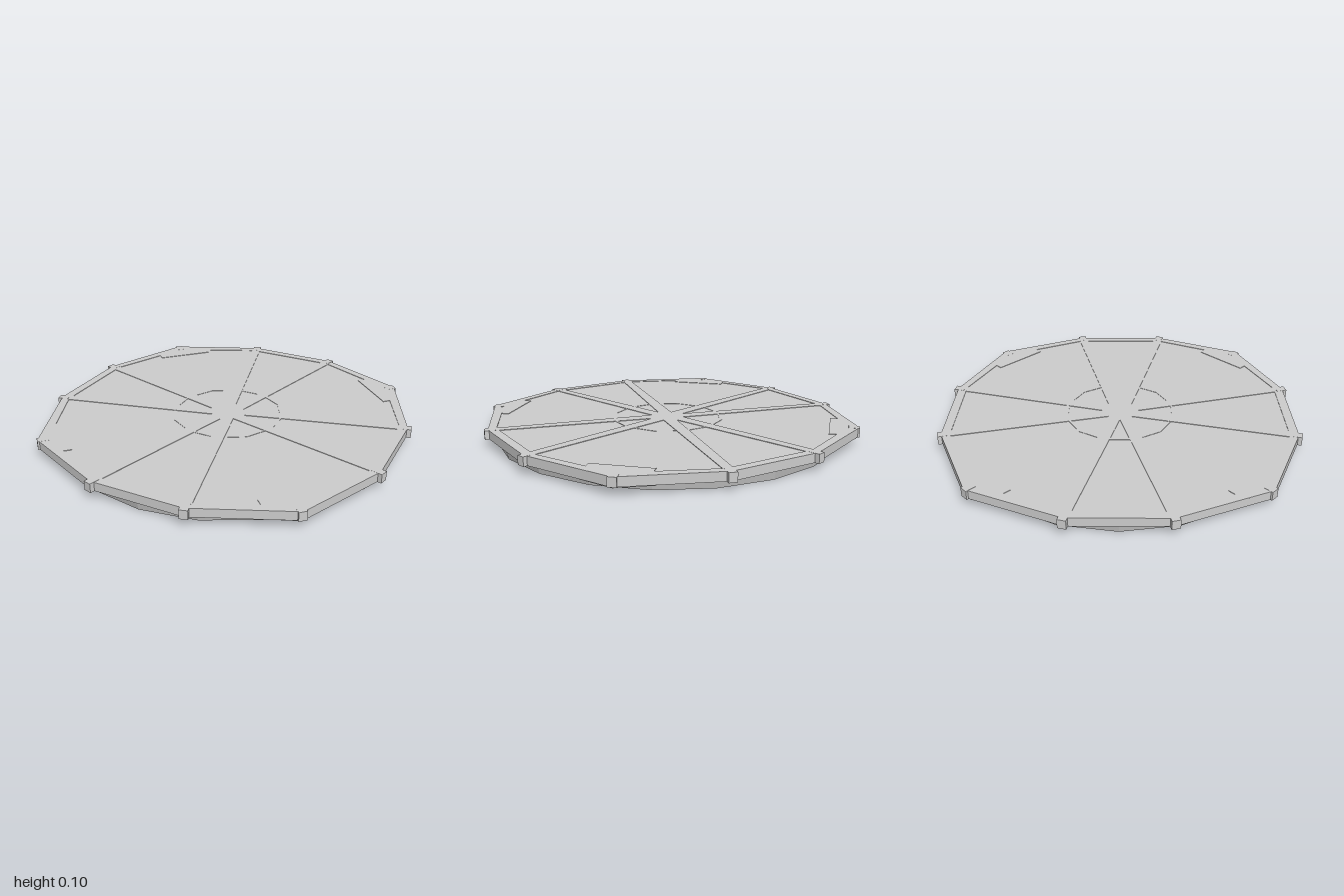
import * as THREE from 'three';

const material = new THREE.MeshStandardMaterial({ color: 0xcccccc, flatShading: true });
const TOP = 0.096, DECK = 0.093, LEDGE = 0.047;

// Rotate a plan point by quarter turns
const turn = ([x, y], k) => {
  for (let i = 0; i < k; i++) [x, y] = [-y, x];
  return [x, y];
};
const toPoints = (list, k = 0) => list.map((p) => new THREE.Vector2(...turn(p, k)));

// Flat plate cut from a plan outline, standing between two heights
function plate(name, points, y0, y1, holes = []) {
  const shape = new THREE.Shape(points);
  shape.holes = holes.map((h) => new THREE.Path(h));
  const geo = new THREE.ExtrudeGeometry(shape, { depth: y1 - y0, bevelEnabled: false });
  geo.rotateX(-Math.PI / 2).translate(0, y0, 0);
  const mesh = new THREE.Mesh(geo, material);
  mesh.name = name;
  return mesh;
}

function polygon(sides, radius) {
  return Array.from({ length: sides }, (_, i) => {
    const a = ((i + 0.5) / sides) * Math.PI * 2;
    return new THREE.Vector2(Math.cos(a) * radius, Math.sin(a) * radius);
  });
}

export function createModel() {
  const model = new THREE.Group();
  model.name = 'platform';
  const quarters = [0, 1, 2, 3];

  // Twenty-sided tapering base
  const base = new THREE.Mesh(new THREE.CylinderGeometry(0.97, 0.957, LEDGE, 20), material);
  base.name = 'base';
  base.position.y = LEDGE / 2;
  model.add(base);

  // Twelve-sided deck
  const outline = quarters.flatMap((k) => toPoints([[0.975, -0.26], [0.975, 0.26], [0.759, 0.759]], k));
  model.add(plate('deck', outline, LEDGE, DECK));

  // Raised frame: rim, spokes and corner gussets around eight sunken panels
  const straightPanel = [[0.1, 0], [0.925, -0.222], [0.925, 0.222]];
  const cornerPanel = [
    [0.065, 0.065], [0.92, 0.275], [0.79, 0.56], [0.76, 0.53],
    [0.53, 0.76], [0.56, 0.79], [0.275, 0.92],
  ];
  const holes = quarters.flatMap((k) => [toPoints(straightPanel, k), toPoints(cornerPanel, k)]);
  model.add(plate('frame', outline, DECK, TOP, holes));

  // Thin hub ring lying on the panels
  model.add(plate('hubRing', polygon(12, 0.318), DECK, TOP - 0.001, [polygon(12, 0.303)]));

  // Corner plates below the overhang
  const gusset = [[0.83, 0.57], [0.755, 0.755], [0.57, 0.83], [0.53, 0.76], [0.76, 0.53]];
  quarters.forEach((k) => model.add(plate('cornerPlate', toPoints(gusset, k), 0.041, LEDGE)));

  // Small blocks capping each rim corner
  for (let i = 0; i < 12; i++) {
    const angle = ((i + 0.5) * Math.PI) / 6;
    const outer = i % 3 === 1 ? 1.075 : 1.028;
    const block = new THREE.Mesh(new THREE.BoxGeometry(0.06, TOP - LEDGE + 0.001, 0.045), material);
    block.name = 'rimBlock';
    block.position.set(Math.cos(angle) * (outer - 0.03), (TOP + LEDGE) / 2, -Math.sin(angle) * (outer - 0.03));
    block.rotation.y = angle;
    model.add(block);
  }
  return model;
}
